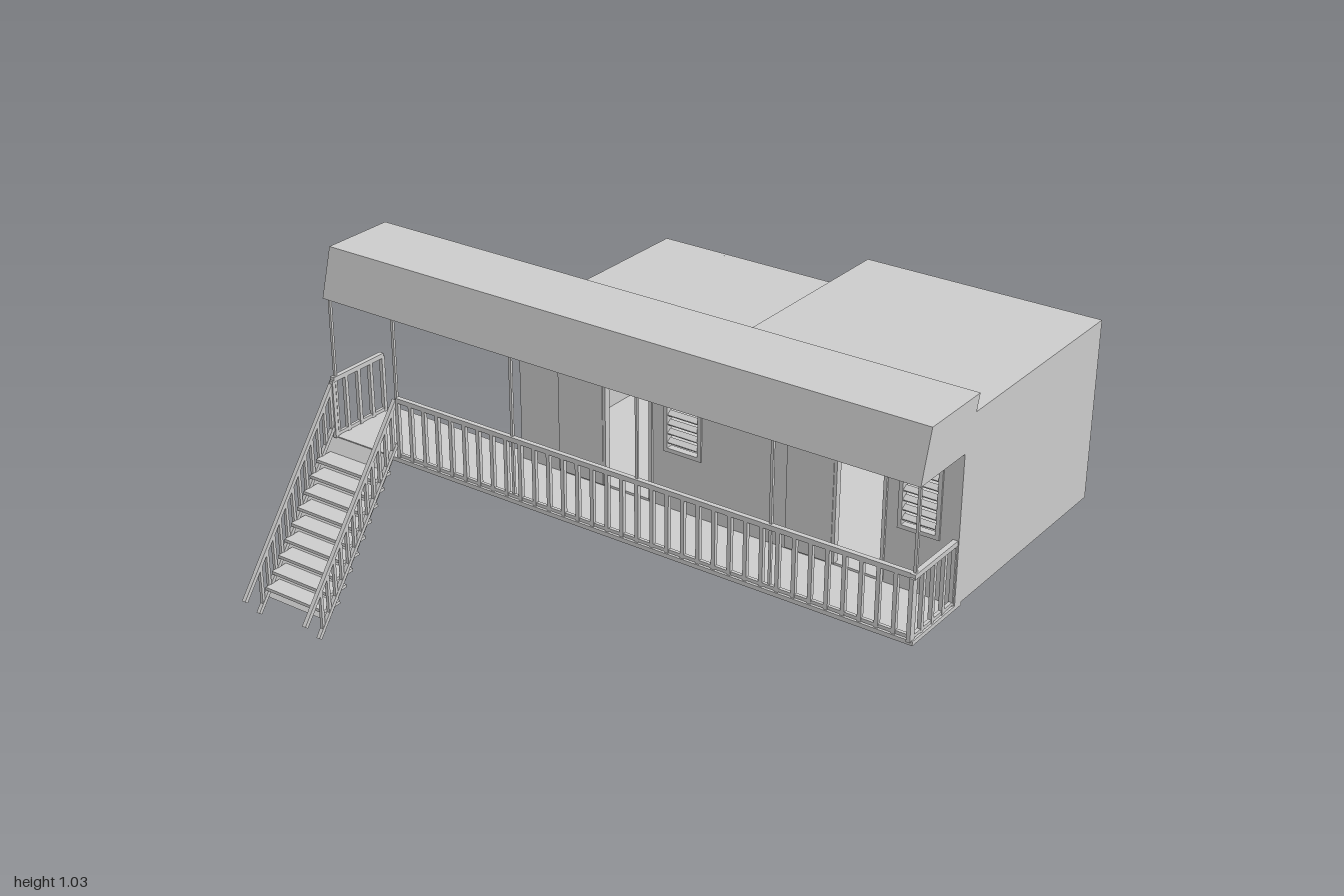
import * as THREE from 'three';

const mat = new THREE.MeshStandardMaterial({ color: 0xcccccc, flatShading: true, side: THREE.DoubleSide });

function add(parent, name, geometry) {
  const m = new THREE.Mesh(geometry, mat);
  m.name = name;
  parent.add(m);
  return m;
}

function group(parent, name) {
  const g = new THREE.Group();
  g.name = name;
  parent.add(g);
  return g;
}

// Axis-aligned box given by its limits
function block(parent, name, [x0, x1], [y0, y1], [z0, z1]) {
  const m = add(parent, name, new THREE.BoxGeometry(x1 - x0, y1 - y0, z1 - z0));
  m.position.set((x0 + x1) / 2, (y0 + y1) / 2, (z0 + z1) / 2);
  return m;
}

// Square bar between two points
function bar(parent, name, a, b, w = 0.012) {
  const p = new THREE.Vector3(...a), q = new THREE.Vector3(...b);
  const m = add(parent, name, new THREE.BoxGeometry(w, w, p.distanceTo(q)));
  m.position.copy(p).add(q).multiplyScalar(0.5);
  m.lookAt(q);
  return m;
}

// Wall in the z-y plane with rectangular holes [z0, z1, y0, y1]
function sideWall(parent, name, xMax, [z0, z1], [y0, y1], holes, t) {
  const rect = (T, a, b, c, d) => {
    const s = new T();
    s.moveTo(a, c); s.lineTo(b, c); s.lineTo(b, d); s.lineTo(a, d); s.closePath();
    return s;
  };
  const shape = rect(THREE.Shape, z0, z1, y0, y1);
  for (const h of holes) shape.holes.push(rect(THREE.Path, ...h));
  const geo = new THREE.ExtrudeGeometry(shape, { depth: t, bevelEnabled: false });
  geo.rotateY(-Math.PI / 2).translate(xMax, 0, 0);
  return add(parent, name, geo);
}

// Frame with tilted slats around a wall opening
function louvre(parent, name, x, [z0, z1, y0, y1], slats) {
  const g = group(parent, name), f = 0.012, d = [x - 0.011, x + 0.011];
  block(g, 'frameSide', d, [y0, y1], [z0, z0 + f]);
  block(g, 'frameSide', d, [y0, y1], [z1 - f, z1]);
  block(g, 'frameSill', d, [y0, y0 + f], [z0, z1]);
  block(g, 'frameHead', d, [y1 - f, y1], [z0, z1]);
  for (let i = 0; i < slats; i++) {
    const y = y0 + f + (i + 0.7) * (y1 - y0 - 2 * f) / slats;
    const s = block(g, 'slat', [x - 0.009, x + 0.009], [y - 0.003, y + 0.003], [z0 + f, z1 - f]);
    s.rotation.z = 0.6;
  }
}

const WALL = -0.06, FLOOR = 0.44, T = 0.014;

// One hollow room with a door and window on the balcony side
function room(parent, name, xMax, z, top, door, win, sideWindow) {
  const g = group(parent, name), y = [FLOOR, top], [z0, z1] = z;
  block(g, 'floor', [WALL, xMax], [FLOOR, FLOOR + 0.01], z);
  block(g, 'ceiling', [WALL, xMax], [top - T, top], z);
  block(g, 'backWall', [WALL, xMax], y, [z0, z0 + T]);
  block(g, 'frontWall', [WALL, xMax], y, [z1 - T, z1]);
  sideWall(g, 'outerWall', xMax, z, y, sideWindow ? [sideWindow] : [], T);
  sideWall(g, 'balconyWall', WALL + T, z, y, [door, win], T);
  if (sideWindow) louvre(g, 'sideWindow', xMax - 0.008, sideWindow, 9);
  louvre(g, 'balconyWindow', WALL + 0.006, win, 7);
  // door leaf folded open against the wall, plus its jambs
  const [d0, d1, dy0, dy1] = door;
  block(g, 'doorLeaf', [WALL - 0.008, WALL - 0.001], [dy0, dy1], [d0 - (d1 - d0), d0 - 0.004]);
  for (const p of [d0, d1]) block(g, 'doorJamb', [WALL - 0.006, WALL + T], [dy0, dy1], [p - 0.005, p + 0.005]);
}

// Level railing with evenly spaced balusters between two deck points
function railing(parent, name, [xa, za], [xb, zb]) {
  const g = group(parent, name);
  bar(g, 'topRail', [xa, 0.628, za], [xb, 0.628, zb], 0.015);
  bar(g, 'bottomRail', [xa, 0.45, za], [xb, 0.45, zb], 0.01);
  const n = Math.round(Math.hypot(xb - xa, zb - za) / 0.05);
  for (let i = 0; i <= n; i++) {
    const x = xa + (xb - xa) * i / n, z = za + (zb - za) * i / n;
    block(g, 'baluster', [x - 0.006, x + 0.006], [FLOOR, 0.625], [z - 0.006, z + 0.006]);
  }
}

export function createModel() {
  const model = new THREE.Group();
  model.name = 'raisedCabin';

  room(model, 'frontRoom', 0.685, [0.25, 0.99], 0.985,
    [0.62, 0.77, FLOOR + 0.01, 0.84], [0.81, 0.935, 0.62, 0.84], [0.63, 0.845, 0.59, 0.85]);
  room(model, 'backRoom', 0.66, [-0.445, 0.25], 0.895,
    [-0.14, 0.02, FLOOR + 0.01, 0.84], [0.065, 0.19, 0.62, 0.84]);

  // Balcony deck
  block(model, 'deck', [-0.275, -0.025], [0.43, 0.443], [-0.985, 0.99]);

  // Slanted solid canopy along the balcony
  const profile = new THREE.Shape([[-0.28, 0.885], [-0.045, 0.885], [0, 1.032], [-0.238, 1.032]]
    .map(p => new THREE.Vector2(...p)));
  add(model, 'canopy', new THREE.ExtrudeGeometry(profile, { depth: 1.98, bevelEnabled: false })
    .translate(0, 0, -0.99));

  // Thin canopy posts
  for (const z of [-0.98, -0.74, -0.31, 0.12, 0.55, 0.98])
    block(model, 'canopyPost', [-0.266, -0.258], [FLOOR, 0.89], [z - 0.004, z + 0.004]);

  // Railings, leaving a gap at the stairs
  railing(model, 'outerRailing', [-0.265, -0.735], [-0.265, 0.98]);
  railing(model, 'frontRailing', [-0.275, 0.98], [-0.06, 0.98]);
  railing(model, 'backRailing', [-0.275, -0.98], [-0.06, -0.98]);

  // Staircase
  const stairs = group(model, 'stairs');
  const run = 0.0306, rise = 0.04, slope = 1.305;
  for (let i = 0; i < 11; i++) {
    const x = -0.575 + i * run, y = 0.078 + (i - 0.0) * rise;
    if (y < 0.43) block(stairs, 'tread', [x - 0.036, x + 0.036], [y - 0.005, y + 0.005], [-0.98, -0.75]);
  }
  for (const z of [-0.744, -0.984]) {
    bar(stairs, 'handrail', [-0.693, 0.07, z], [-0.265, 0.625, z], 0.013);
    bar(stairs, 'stringer', [-0.641, 0.006, z], [-0.27, 0.488, z], 0.012);
    for (let i = 0; i < 12; i++) {
      const x = -0.622 + i * run, low = 0.006 + (x + 0.641) * slope;
      block(stairs, 'stairBaluster', [x - 0.005, x + 0.005], [low - 0.01, low + 0.13], [z - 0.005, z + 0.005]);
    }
  }
  // Sloping board under the treads
  const board = add(stairs, 'undersideBoard', new THREE.BoxGeometry(Math.hypot(0.315, 0.405), 0.012, 0.24));
  board.position.set(-0.4275, 0.234, -0.88);
  board.rotation.z = Math.atan2(0.405, 0.315);

  return model;
}
